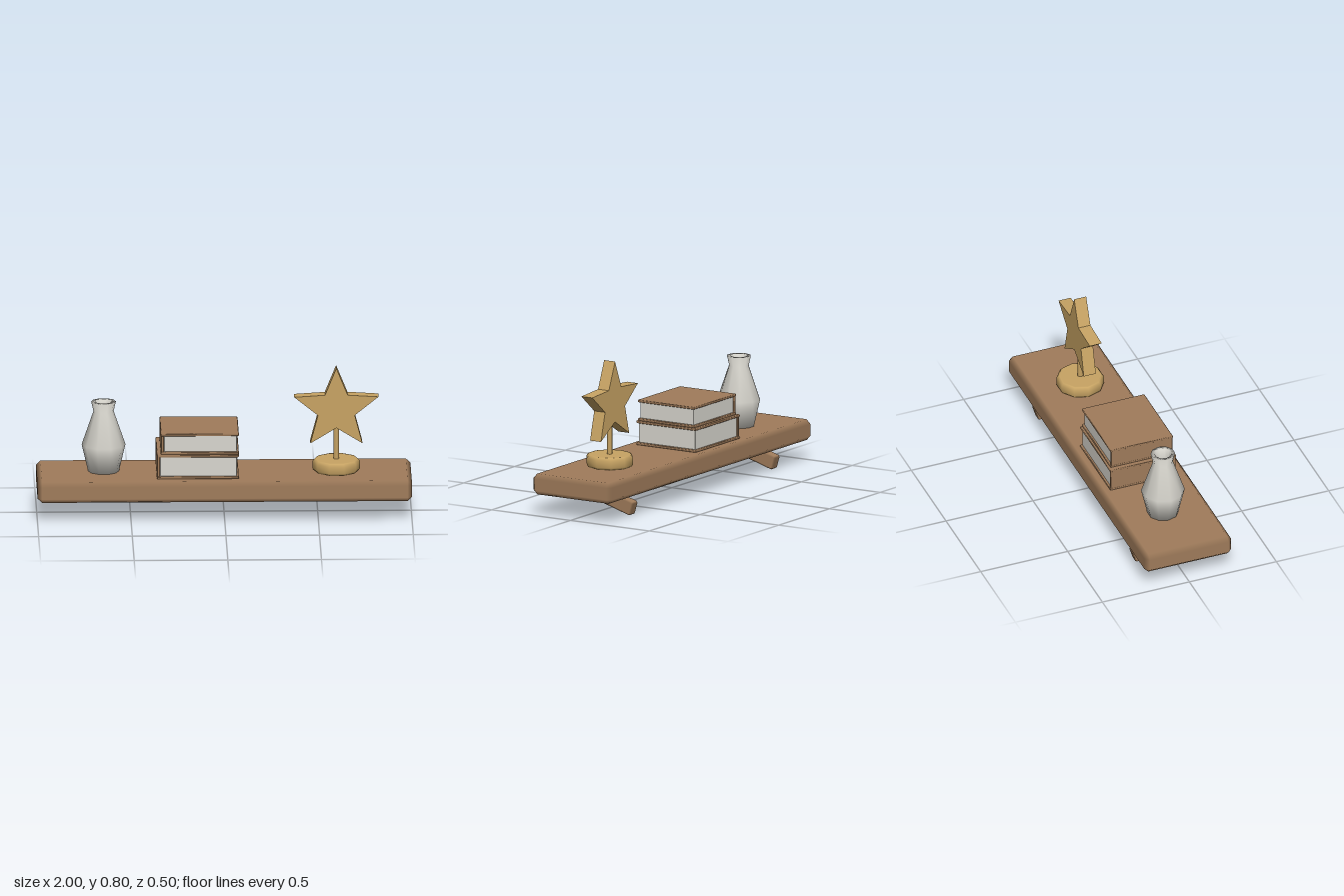
import * as THREE from 'three';
import { ConvexGeometry } from 'three/addons/geometries/ConvexGeometry.js';

// Box with single-step chamfers whose normals blend softly from face to face
function softBox(w, h, d, c) {
  const half = [w / 2, h / 2, d / 2];
  const points = [];
  for (const sx of [-1, 1]) for (const sy of [-1, 1]) for (const sz of [-1, 1]) {
    const s = [sx, sy, sz];
    for (let axis = 0; axis < 3; axis++) {
      points.push(new THREE.Vector3(...s.map((v, i) => v * (half[i] - (i === axis ? 0 : c)))));
    }
  }
  const geo = new ConvexGeometry(points);
  const pos = geo.attributes.position;
  const normal = geo.attributes.normal;
  for (let i = 0; i < pos.count; i++) {
    const p = [pos.getX(i), pos.getY(i), pos.getZ(i)];
    const n = p.map((v, k) => (Math.abs(Math.abs(v) - half[k]) < 1e-5 ? Math.sign(v) : 0));
    normal.setXYZ(i, ...n);
  }
  return geo;
}

function lathe(profile, segments) {
  const geo = new THREE.LatheGeometry(profile.map(([r, y]) => new THREE.Vector2(r, y)), segments);
  return geo.rotateY(Math.PI / 2);
}

export function createModel() {
  const wood = new THREE.MeshStandardMaterial({ name: 'wood brown', color: 0xa07c5b });
  const gold = new THREE.MeshStandardMaterial({ name: 'antique gold', color: 0xc8a464 });
  const white = new THREE.MeshStandardMaterial({ name: 'warm white', color: 0xd9d7cf });

  const model = new THREE.Group();
  model.name = 'decoratedShelf';
  const add = (parent, name, geo, mat, x = 0, y = 0, z = 0) => {
    const mesh = new THREE.Mesh(geo, mat);
    mesh.name = name;
    mesh.position.set(x, y, z);
    parent.add(mesh);
    return mesh;
  };

  // Shelf board and the two slanted brackets below it
  add(model, 'shelfBoard', softBox(2, 0.113, 0.5, 0.024), wood, 0, 0.1705, 0);
  for (const [name, x] of [['rightBracket', -0.702], ['leftBracket', 0.698]]) {
    add(model, name, softBox(0.057, 0.077, 0.347, 0.008), wood, x, 0.086, -0.042).rotation.x = -0.29;
  }

  // Books: two covers, a spine on the -x side and a block of pages
  const addBook = (name, x0, x1, y0, y1, depth) => {
    const book = new THREE.Group();
    book.name = name;
    model.add(book);
    const t = 0.014, w = x1 - x0, x = (x0 + x1) / 2, z = -0.01;
    const h = y1 - y0 - 2 * t, y = (y0 + y1) / 2;
    add(book, 'bottomCover', softBox(w, t, depth, 0.004), wood, x, y0 + t / 2, z);
    add(book, 'topCover', softBox(w, t, depth, 0.004), wood, x, y1 - t / 2, z);
    add(book, 'spine', softBox(0.016, h + 0.008, depth - 0.008, 0.003), wood, x0 + 0.009, y, z);
    add(book, 'pages', softBox(w - 0.028, h + 0.002, depth - 0.02, 0.003), white, x + 0.003, y, z);
  };
  addBook('lowerBook', -0.362, 0.076, 0.228, 0.361, 0.38);
  addBook('upperBook', -0.341, 0.076, 0.361, 0.476, 0.36);

  // Hollow ten-sided vase
  const vase = [
    [0, 0], [0.083, 0], [0.117, 0.147], [0.054, 0.33], [0.066, 0.383],
    [0.046, 0.383], [0.036, 0.33], [0.036, 0.28], [0, 0.28],
  ];
  add(model, 'vase', lathe(vase, 10), white, -0.643, 0.227, -0.01);

  // Star trophy: rounded base, stem and thick star
  const trophy = new THREE.Group();
  trophy.name = 'starTrophy';
  trophy.position.set(0.599, 0.227, 0.01);
  model.add(trophy);
  const base = [[0, 0], [0.117, 0], [0.128, 0.013], [0.128, 0.051], [0.117, 0.065], [0.11, 0.066], [0, 0.066]];
  add(trophy, 'trophyBase', lathe(base, 10), gold);
  add(trophy, 'trophyStem', new THREE.CylinderGeometry(0.015, 0.015, 0.2, 8), gold, 0, 0.16, 0);

  const star = new THREE.Shape();
  for (let i = 0; i < 10; i++) {
    const r = i % 2 ? 0.1 : 0.229;
    const a = Math.PI / 2 + (i * Math.PI) / 5;
    star[i ? 'lineTo' : 'moveTo'](Math.cos(a) * r * 1.033, Math.sin(a) * r);
  }
  star.closePath();
  const starGeo = new THREE.ExtrudeGeometry(star, { depth: 0.069, bevelEnabled: false });
  add(trophy, 'star', starGeo.translate(0, 0, -0.0345), gold, 0, 0.344, 0);

  return model;
}
